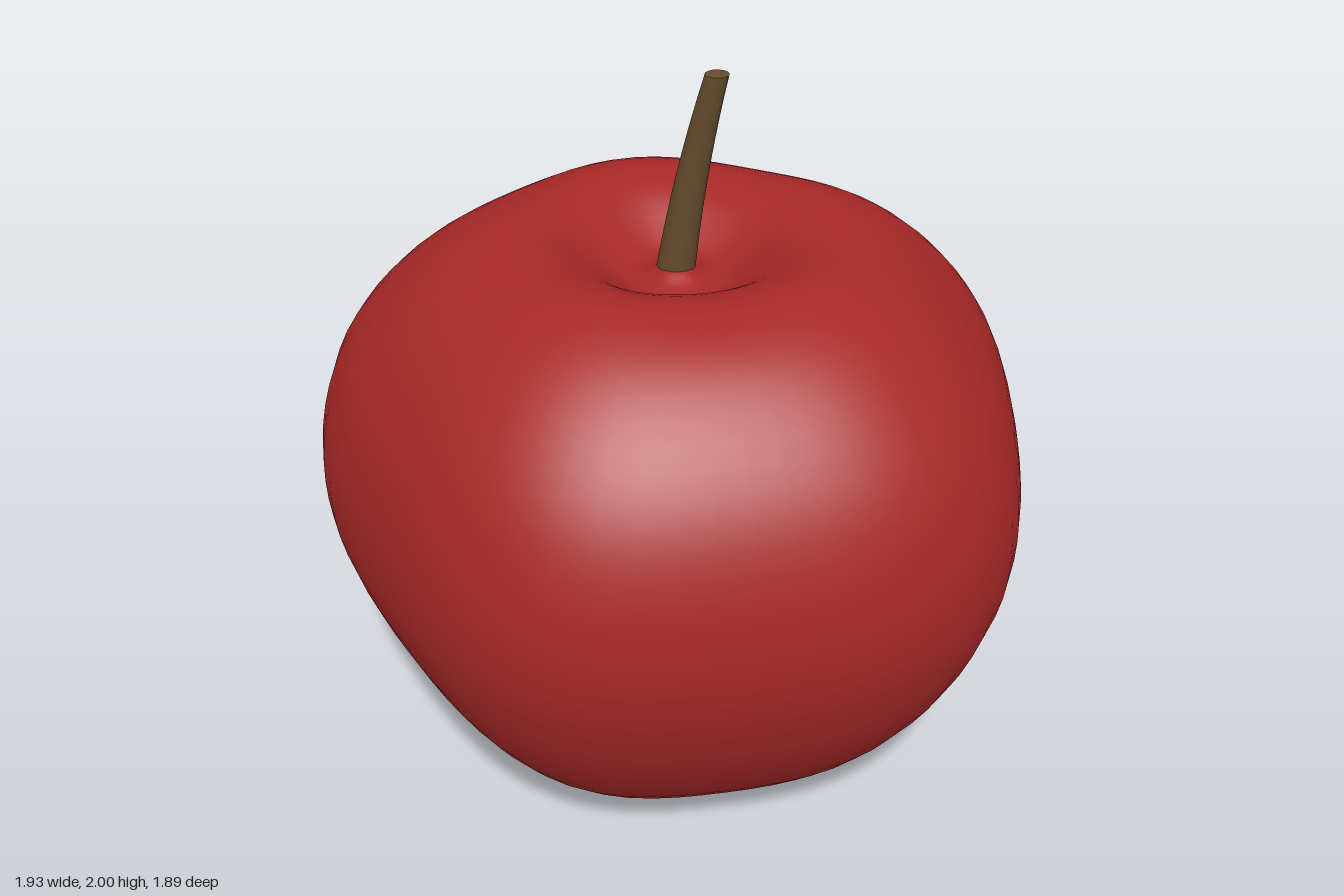
import * as THREE from 'three';
import { mergeVertices } from 'three/addons/utils/BufferGeometryUtils.js';

const CENTRE_X = -0.02;

// Uneven five-lobed outline, as a radius for each angle around the core
const lobe = (a) =>
  0.95 + 0.028 * Math.cos(5 * a) + 0.015 * Math.cos(2 * a) - 0.005 * Math.sin(a);

function part(name, geometry, color, side = THREE.FrontSide) {
  const mesh = new THREE.Mesh(geometry, new THREE.MeshStandardMaterial({ color, roughness: 0.8, side }));
  mesh.name = name;
  return mesh;
}

// Moves every vertex by a rule, then welds the seam for smooth normals
function reshape(geometry, rule) {
  const p = geometry.attributes.position;
  const v = new THREE.Vector3();
  for (let i = 0; i < p.count; i++) {
    rule(v.fromBufferAttribute(p, i));
    p.setXYZ(i, v.x, v.y, v.z);
  }
  geometry.deleteAttribute('uv');
  geometry.deleteAttribute('normal');
  const welded = mergeVertices(geometry, 1e-4);
  welded.computeVertexNormals();
  return welded;
}

// Body: a profile from the bottom hollow to the top hollow, spun and lobed
function fruitGeometry() {
  const profile = new THREE.SplineCurve([
    [0, 0.05], [0.12, 0.045], [0.22, 0.025], [0.3, 0.006], [0.38, 0.016], [0.52, 0.085],
    [0.71, 0.25], [0.86, 0.46], [0.95, 0.68], [0.975, 0.86], [0.955, 1.04], [0.89, 1.22],
    [0.78, 1.37], [0.64, 1.485], [0.5, 1.545], [0.4, 1.553], [0.3, 1.525], [0.21, 1.47],
    [0.14, 1.432], [0.085, 1.437], [0.04, 1.46], [0, 1.465],
  ].map(([r, y]) => new THREE.Vector2(r, y)));
  const points = profile.getPoints(63);
  points.forEach((q) => { q.x = Math.max(q.x, 0); });
  return reshape(new THREE.LatheGeometry(points, 60), (v) => {
    const r = Math.hypot(v.x, v.z);
    const a = Math.atan2(v.z, v.x);
    const k = lobe(a) / 0.975;
    v.x = v.x * k + CENTRE_X;
    v.z *= k;
    // the shoulders rise and fall slightly with the lobes
    if (v.y > 1.2) v.y += 0.006 * Math.cos(5 * a) * Math.exp(-(((r - 0.42) / 0.15) ** 2));
  });
}

// Stalk: a tapered cylinder bent sideways, with a level cut at the tip
function stalkGeometry() {
  const bend = (v) => {
    const t = (v.y + 0.3) / 0.6;
    v.x += -0.035 + 0.075 * t + 0.05 * t * t;
    v.z += -0.008 - 0.021 * t;
    v.y += 1.7;
  };
  return reshape(new THREE.CylinderGeometry(0.03, 0.053, 0.6, 14, 10, true), bend);
}

export function createModel() {
  const model = new THREE.Group();
  model.name = 'apple';
  model.add(part('fruit', fruitGeometry(), 0xa82828));
  model.add(part('stalk', stalkGeometry(), 0x654c2e));

  const tip = part('stalkTip', new THREE.CircleGeometry(0.03, 14), 0x654c2e);
  tip.rotation.x = -Math.PI / 2;
  tip.position.set(0.09, 2, -0.029);
  model.add(tip);

  // Dried blossom end closing the bottom hollow
  const blossom = part('blossomEnd', new THREE.CircleGeometry(0.22, 32), 0x553522);
  blossom.rotation.x = Math.PI / 2;
  blossom.position.set(CENTRE_X, 0.024, 0);
  model.add(blossom);
  return model;
}
